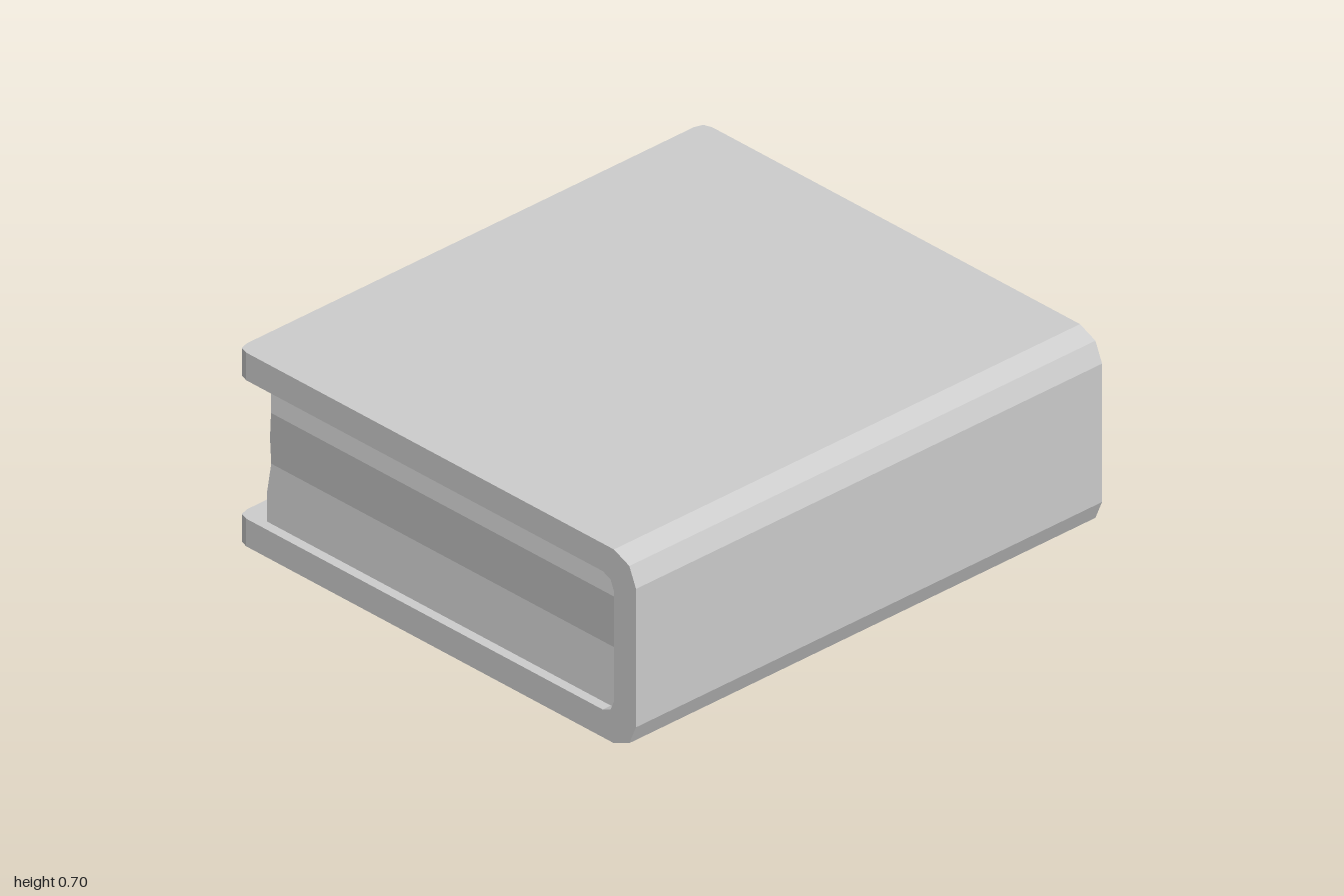
import * as THREE from 'three';

const material = new THREE.MeshStandardMaterial({ color: 0xcccccc, flatShading: true });

function addMesh(group, name, geometry) {
  geometry.computeVertexNormals();
  const mesh = new THREE.Mesh(geometry, material);
  mesh.name = name;
  group.add(mesh);
}

// C-shaped binding swept along z; the fore-edge corners are rounded in plan
function coverGeometry() {
  const lower = [[-0.9, 0], [0.8, 0], [0.87, 0.03], [0.9, 0.1]];
  const inner = [[0.8, 0.15], [0.785, 0.115], [0.75, 0.1], [-0.9, 0.1]];
  const flip = (pts) => pts.map(([x, y]) => [x, 0.7 - y]).reverse();
  const profile = [...lower, ...flip(lower), ...flip(inner), ...inner];
  const shape = new THREE.Shape(profile.map(([x, y]) => new THREE.Vector2(x, y)));

  const zs = [-1, -0.99, -0.96, 0.96, 0.99, 1];
  const foreEdge = [-0.86, -0.89, -0.9, -0.9, -0.89, -0.86];
  const geometry = new THREE.ExtrudeGeometry(shape, { steps: 5, depth: 5, bevelEnabled: false });
  const p = geometry.attributes.position;
  for (let i = 0; i < p.count; i++) {
    const step = Math.round(p.getZ(i));
    if (p.getX(i) < -0.8) p.setX(i, foreEdge[step]);
    p.setZ(i, zs[step]);
  }
  return geometry;
}

// Block of paper with slightly uneven layers on its three open sides
function pagesGeometry() {
  const fore = [-0.803, -0.813, -0.805, -0.8, -0.785, -0.8];
  const front = [0.965, 0.955, 0.945, 0.955, 0.965, 0.95];
  const back = [-0.95, -0.965, -0.955, -0.945, -0.962, -0.95];
  const geometry = new THREE.BoxGeometry(1, 1, 1, 1, 5, 1).toNonIndexed();
  const p = geometry.attributes.position;
  for (let i = 0; i < p.count; i++) {
    const level = Math.round((p.getY(i) + 0.5) * 5);
    const x = p.getX(i) < 0 ? fore[level] : 0.8;
    const z = p.getZ(i) > 0 ? front[level] : back[level];
    p.setXYZ(i, x, 0.1 + level * 0.1, z);
  }
  return geometry;
}

export function createModel() {
  const book = new THREE.Group();
  book.name = 'book';
  addMesh(book, 'cover', coverGeometry());
  addMesh(book, 'pages', pagesGeometry());
  return book;
}
